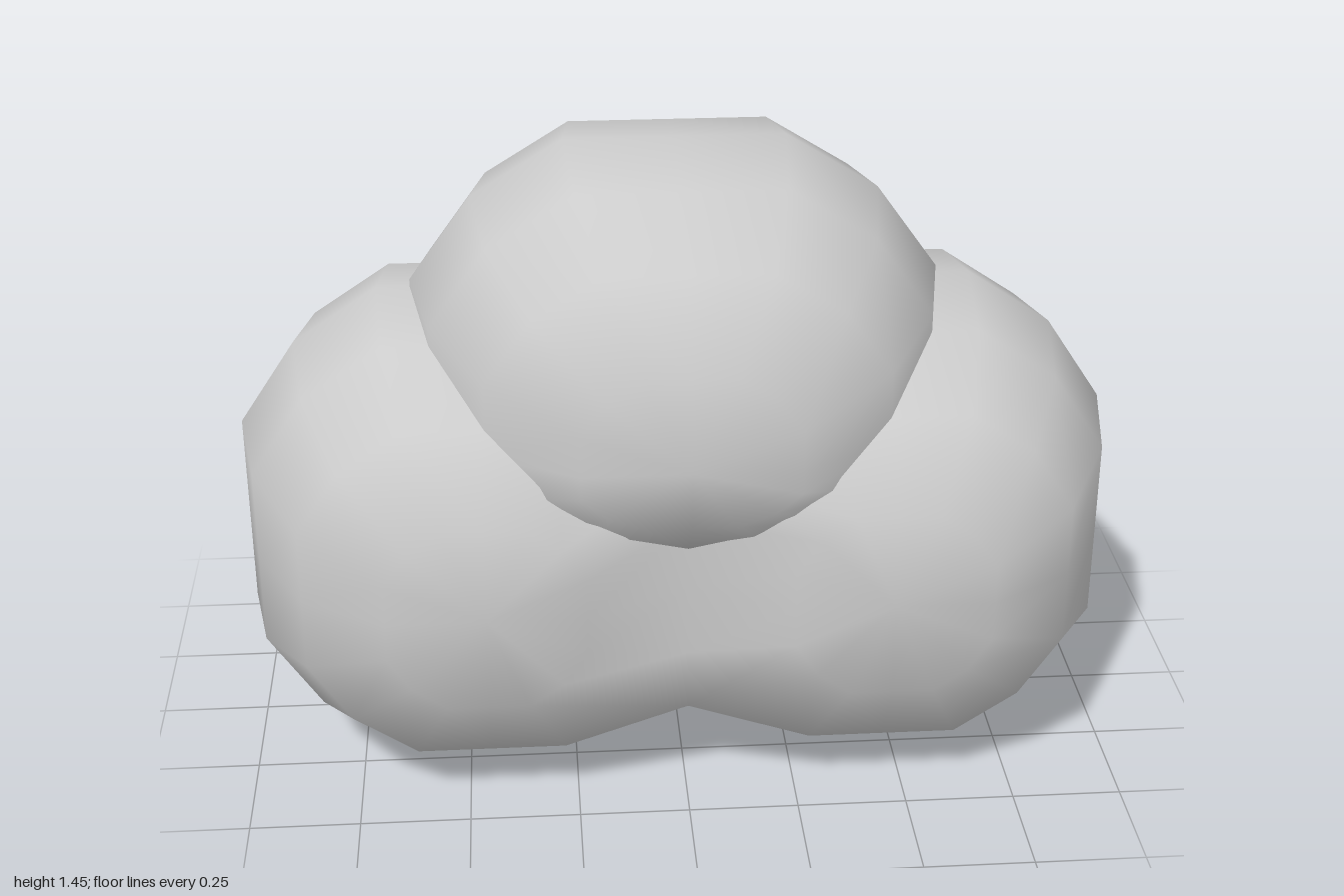
import * as THREE from 'three';
import { mergeGeometries, mergeVertices } from 'three/addons/utils/BufferGeometryUtils.js';

const RADIUS = 0.6;
const FLAT = RADIUS * Math.cos(Math.PI / 8); // distance from centre to each flattened side
const OFFSET = 1 - FLAT;                     // sideways distance of the lower balls

// Move every vertex of a geometry by a rule
function reshape(geo, rule) {
  const p = geo.attributes.position;
  const v = new THREE.Vector3();
  for (let i = 0; i < p.count; i++) {
    rule(v.fromBufferAttribute(p, i));
    p.setXYZ(i, v.x, v.y, v.z);
  }
  return geo;
}

// Low-poly ball with its poles along z, flattened on all six sides
function ballGeometry() {
  const geo = new THREE.SphereGeometry(RADIUS, 16, 8).rotateX(Math.PI / 2);
  geo.deleteAttribute('uv');
  geo.deleteAttribute('normal');
  return reshape(geo, (v) => {
    // points on the x and y axes drop level with their neighbours
    let s = Math.min(Math.abs(v.x), Math.abs(v.y)) < 1e-4 ? FLAT / RADIUS : 1;
    // the front and back rings are slightly fuller
    if (Math.abs(v.z) > 0.3) s *= 1.03;
    v.set(v.x * s, v.y * s, THREE.MathUtils.clamp(v.z * 1.04, -FLAT, FLAT));
  });
}

// Two balls joined at the centre plane, with a smooth valley between them
function lowerPairGeometry() {
  const left = reshape(ballGeometry(), (v) => {
    v.x = v.x < -0.28 ? 0 : v.x + OFFSET;
  });
  const right = left.clone().rotateY(Math.PI);
  const geo = mergeVertices(mergeGeometries([left, right]), 1e-3);
  // leave out the hidden wall between the balls
  const p = geo.attributes.position;
  const index = geo.index.array;
  const kept = [];
  for (let i = 0; i < index.length; i += 3) {
    const tri = [index[i], index[i + 1], index[i + 2]];
    if (tri.some((k) => Math.abs(p.getX(k)) > 1e-3)) kept.push(...tri);
  }
  geo.setIndex(kept);
  geo.computeVertexNormals();
  return geo;
}

// Wider ball whose underside is squashed where it rests on the pair
function topBallGeometry() {
  const geo = reshape(ballGeometry(), (v) => {
    v.x *= 1.08;
    if (v.y < 0) v.y *= 0.6;
  });
  const merged = mergeVertices(geo, 1e-3);
  merged.computeVertexNormals();
  return merged;
}

export function createModel() {
  const group = new THREE.Group();
  group.name = 'ballCluster';
  const material = new THREE.MeshStandardMaterial({ color: 0xcccccc });

  const lowerBalls = new THREE.Mesh(lowerPairGeometry(), material);
  lowerBalls.name = 'lowerBalls';
  lowerBalls.position.y = FLAT;

  const topBall = new THREE.Mesh(topBallGeometry(), material);
  topBall.name = 'topBall';
  topBall.position.y = 1.45 - FLAT;

  group.add(lowerBalls, topBall);
  return group;
}
